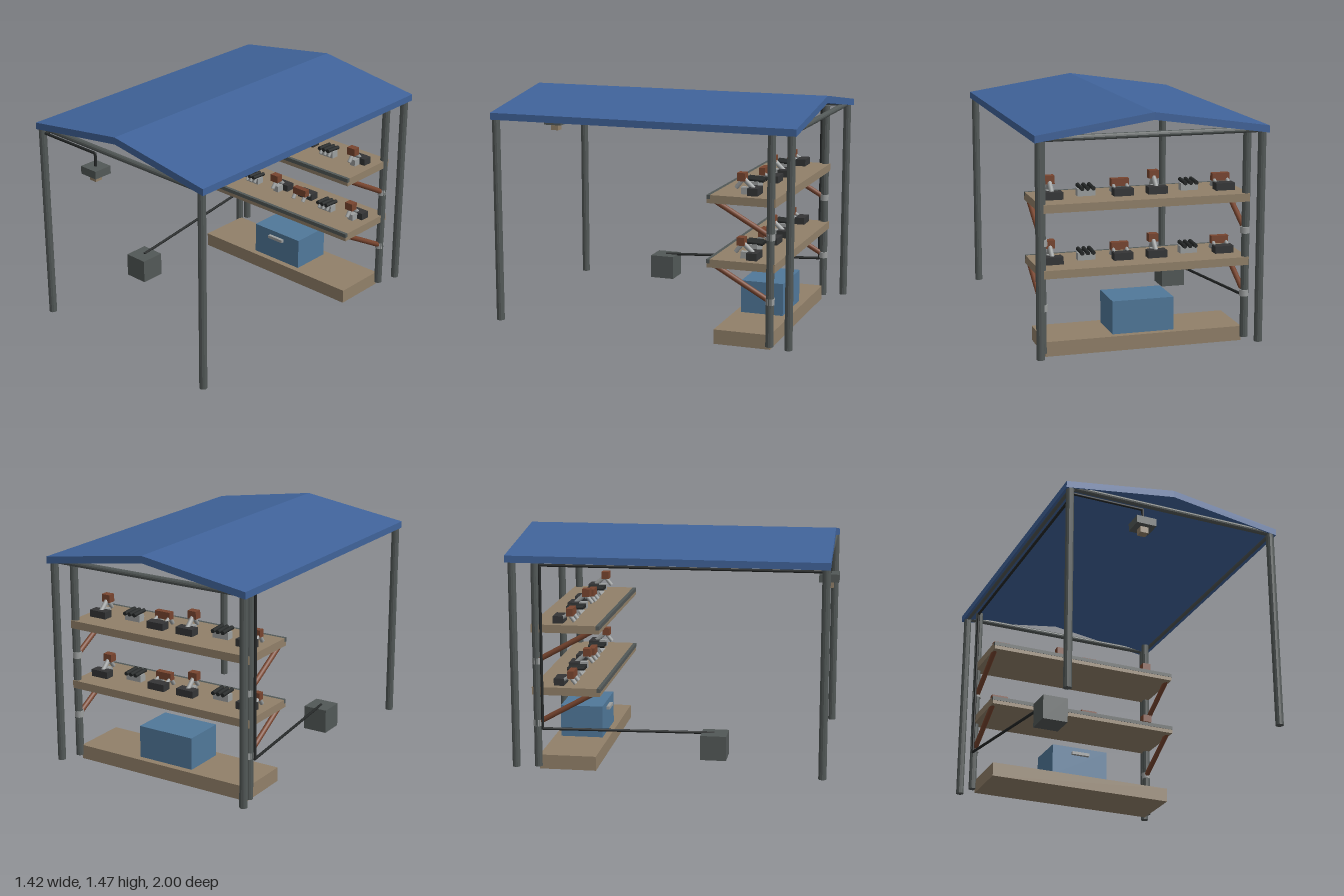
import * as THREE from 'three';

const mat = (name, color, extra = {}) => Object.assign(new THREE.MeshStandardMaterial({ color, ...extra }), { name });

export function createModel() {
  const M = {
    roof: mat('roof blue', 0x40639a),
    wood: mat('tan wood', 0x918069),
    steel: mat('grey steel', 0x525857),
    chest: mat('chest blue', 0x50789a),
    light: mat('light metal', 0x9c9f9f),
    dark: mat('dark iron', 0x343536),
    rust: mat('rust brown', 0x78452f),
    cable: mat('cable black', 0x252828),
  };
  // Pipes are faceted
  M.steel.flatShading = true;

  const model = new THREE.Group();
  model.name = 'workshopShelter';

  const add = (parent, name, geo, material) => {
    const m = new THREE.Mesh(geo, material);
    m.name = name;
    parent.add(m);
    return m;
  };
  // Box from its limits on each axis
  const box = (parent, name, material, x0, x1, y0, y1, z0, z1) => {
    const m = add(parent, name, new THREE.BoxGeometry(x1 - x0, y1 - y0, z1 - z0), material);
    m.position.set((x0 + x1) / 2, (y0 + y1) / 2, (z0 + z1) / 2);
    return m;
  };
  // Round bar between two points
  const bar = (parent, name, material, a, b, r, sides = 12) => {
    const A = new THREE.Vector3(...a), B = new THREE.Vector3(...b);
    const d = B.clone().sub(A);
    const m = add(parent, name, new THREE.CylinderGeometry(r, r, d.length(), sides), material);
    m.position.copy(A).add(B).multiplyScalar(0.5);
    m.quaternion.setFromUnitVectors(new THREE.Vector3(0, 1, 0), d.normalize());
    return m;
  };

  // Gabled roof slab
  const s = new THREE.Shape([[-0.712, 1.32], [0, 1.425], [0.712, 1.32], [0.712, 1.363], [0, 1.47], [-0.712, 1.363]]
    .map(p => new THREE.Vector2(...p)));
  add(model, 'roof', new THREE.ExtrudeGeometry(s, { depth: 1.965, bevelEnabled: false }), M.roof).position.z = -1;

  // Frame: corner posts, tie beams and eave beams
  const zF = 0.94, zB = -0.963;
  for (const z of [zF, zB]) {
    for (const x of [-0.68, 0.68]) bar(model, 'cornerPost', M.steel, [x, 0.03, z], [x, 1.335, z], 0.025);
    bar(model, 'tieBeam', M.steel, [-0.68, 1.337, z], [0.68, 1.337, z], 0.018);
  }
  for (const x of [-0.68, 0.68]) bar(model, 'eaveBeam', M.steel, [x, 1.335, zB], [x, 1.335, zF], 0.018);

  // Rack posts
  for (const x of [-0.637, 0.637]) bar(model, 'rackPost', M.steel, [x, 0.025, -0.832], [x, 1.32, -0.832], 0.025);

  // Bench tools, built around the middle of their shelf spot
  const press = g => {
    box(g, 'toolBase', M.dark, -0.06, 0.06, 0, 0.045, -0.095, -0.03);
    box(g, 'toolHead', M.rust, -0.055, 0.055, 0.045, 0.092, -0.01, 0.03);
    for (const x of [-0.042, 0.042]) {
      bar(g, 'toolLeg', M.light, [x, 0.012, 0.04], [x, 0.065, 0], 0.013);
      bar(g, 'toolBrace', M.light, [x, 0.06, 0.01], [x, 0.02, -0.06], 0.011);
    }
  };
  const rack = g => {
    box(g, 'toolBlock', M.light, -0.055, 0.055, 0, 0.045, -0.03, 0.02);
    for (const x of [-0.035, 0, 0.035]) {
      bar(g, 'toolRod', M.cable, [x, 0.056, 0.05], [x, 0.05, -0.06], 0.013);
      bar(g, 'toolFinger', M.light, [x, 0.015, 0.035], [x, 0.045, 0.015], 0.01);
    }
  };
  const column = g => {
    box(g, 'toolBase', M.dark, -0.06, 0.06, 0, 0.045, -0.095, -0.03);
    box(g, 'toolFoot', M.light, -0.02, 0.02, 0, 0.042, -0.03, 0.02);
    bar(g, 'toolStem', M.light, [0, 0.09, 0.005], [0, 0.035, -0.055], 0.015);
    bar(g, 'toolHandle', M.light, [0, 0.085, 0.015], [0, 0.035, 0.055], 0.013);
    box(g, 'toolHead', M.rust, -0.03, 0.03, 0.08, 0.13, -0.007, 0.042);
  };
  const tools = [press, rack, column];

  // Two shelves with edging, braces, clamps and tools
  for (const top of [0.93, 0.535]) {
    const shelf = new THREE.Group();
    shelf.name = 'shelf';
    shelf.position.y = top;
    model.add(shelf);
    box(shelf, 'shelfBoard', M.wood, -0.65, 0.65, -0.05, 0, -0.863, -0.455);
    box(shelf, 'shelfLip', M.wood, -0.65, 0.65, -0.05, -0.025, -0.455, -0.435);
    box(shelf, 'shelfEdge', M.steel, -0.65, 0.65, -0.025, 0, -0.455, -0.433);
    for (const x of [-0.633, 0.633]) {
      bar(shelf, 'shelfBrace', M.rust, [x, -0.035, -0.48], [x, -0.222, -0.815], 0.017, 10);
      bar(shelf, 'braceClamp', M.light, [x, -0.25, -0.832], [x, -0.21, -0.832], 0.029, 10);
    }
    [-0.54, -0.33, -0.11, 0.105, 0.32, 0.54].forEach((x, i) => {
      const g = new THREE.Group();
      g.name = 'benchTool';
      g.position.set(x, 0, -0.64);
      shelf.add(g);
      tools[i % 3](g);
    });
  }

  // Plinth and chest
  box(model, 'plinth', M.wood, -0.62, 0.62, 0, 0.091, -0.83, -0.472);
  box(model, 'chest', M.chest, -0.195, 0.192, 0.091, 0.298, -0.787, -0.512);
  box(model, 'chestHandle', M.light, -0.062, 0.06, 0.243, 0.263, -0.512, -0.49);

  // Counterweight, cable run and hanging lamp
  box(model, 'weightBox', M.steel, -0.595, -0.435, 0.091, 0.246, 0.18, 0.342);
  const run = [[-0.515, 0.246, 0.26], [-0.655, 0.272, -0.797], [-0.655, 1.3, -0.797],
    [-0.655, 1.3, 0.94], [-0.203, 1.3, 0.94], [-0.203, 1.21, 0.94]];
  for (let i = 0; i < run.length - 1; i++) {
    bar(model, 'cable', M.cable, run[i], run[i + 1], 0.009, 10);
    if (i > 0) add(model, 'cableJoint', new THREE.SphereGeometry(0.009, 10, 8), M.cable).position.set(...run[i]);
  }
  box(model, 'lampHousing', M.steel, -0.268, -0.14, 1.167, 1.217, 0.877, 1);
  box(model, 'lampLens', M.wood, -0.23, -0.178, 1.127, 1.167, 0.914, 0.966);

  return model;
}
